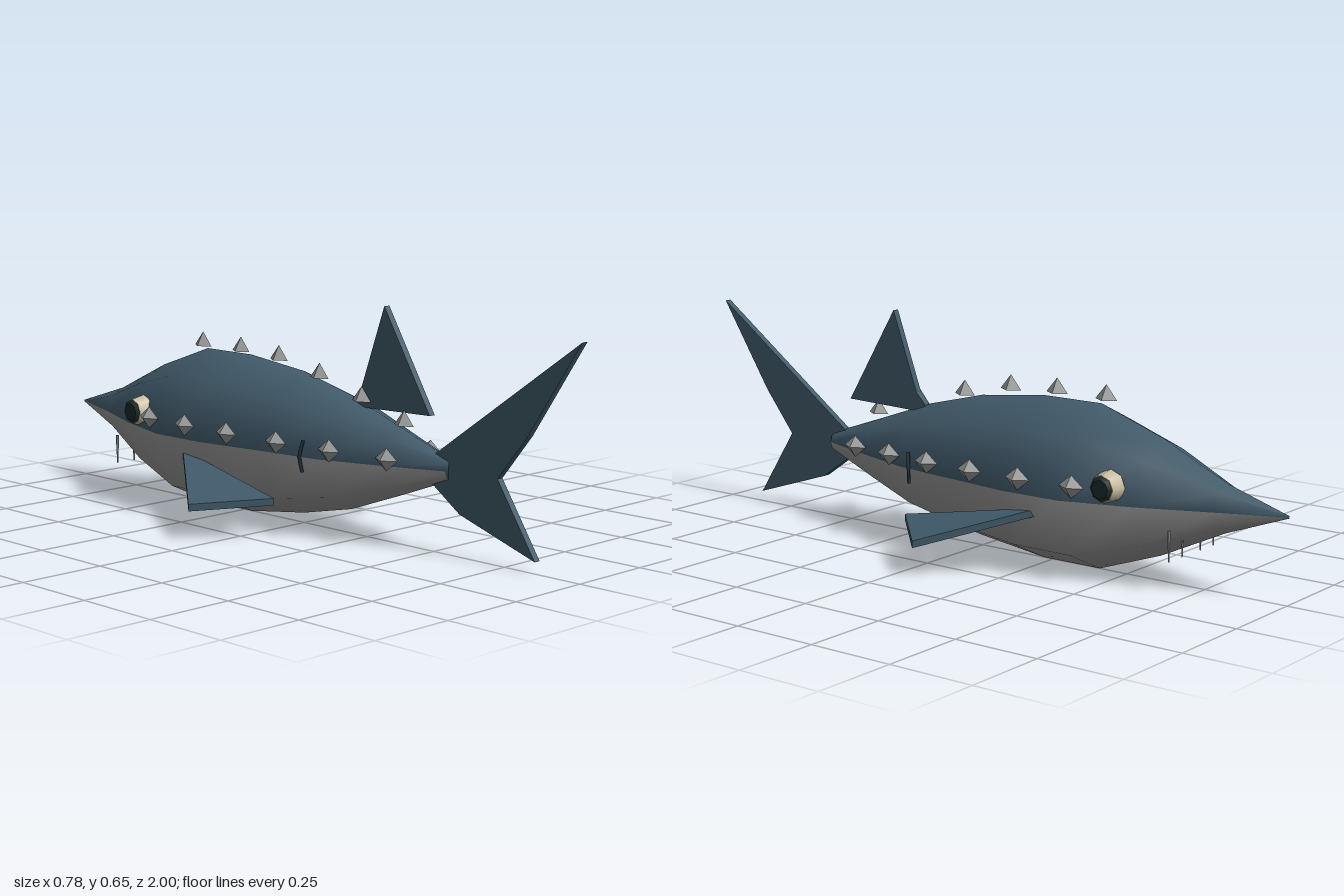
import * as THREE from 'three';
import { ConvexGeometry } from 'three/addons/geometries/ConvexGeometry.js';

const paint = (name, color, opts = {}) => {
  const m = new THREE.MeshStandardMaterial({ color, ...opts });
  m.name = name;
  return m;
};

// Eight-sided lofted body: each section is [z, centre y, height radius]
function bodyGeometry() {
  const sections = [
    [-1, 0.238, 0.003], [-0.81, 0.233, 0.068], [-0.61, 0.233, 0.162], [-0.41, 0.233, 0.232],
    [-0.22, 0.233, 0.232], [0, 0.235, 0.205], [0.19, 0.231, 0.161], [0.375, 0.231, 0.095], [0.56, 0.233, 0.028],
  ];
  const sides = 8, pos = [], back = [], belly = [];
  for (const [z, y, r] of sections) {
    for (let j = 0; j < sides; j++) {
      const a = (j / sides) * Math.PI * 2;
      pos.push(Math.cos(a) * r * 0.885, y + Math.sin(a) * r, z);
    }
  }
  for (let i = 0; i < sections.length - 1; i++) {
    for (let j = 0; j < sides; j++) {
      const k = (j + 1) % sides, p = i * sides, q = p + sides;
      (j < sides / 2 ? back : belly).push(p + j, p + k, q + j, p + k, q + k, q + j);
    }
  }
  // closing face at the tail root
  const e = (sections.length - 1) * sides;
  for (let j = 1; j < sides - 1; j++) back.push(e, e + j, e + j + 1);
  const g = new THREE.BufferGeometry();
  g.setAttribute('position', new THREE.Float32BufferAttribute(pos, 3));
  g.setIndex([...back, ...belly]);
  g.addGroup(0, back.length, 0);
  g.addGroup(back.length, belly.length, 1);
  g.computeVertexNormals();
  return g;
}

// Upright plate from [z, y] outline points
function finGeometry(outline, thickness = 0.02) {
  const shape = new THREE.Shape(outline.map(([z, y]) => new THREE.Vector2(z, y)));
  const g = new THREE.ExtrudeGeometry(shape, { depth: thickness, bevelEnabled: false });
  return g.translate(0, 0, -thickness / 2).rotateY(-Math.PI / 2);
}

export function createModel() {
  const model = new THREE.Group();
  model.name = 'fish';
  const slate = paint('slateBack', 0x415a6a);
  const pale = paint('paleBelly', 0x949694);
  const bone = paint('boneScute', 0x9a9d9b, { flatShading: true });
  const cream = paint('creamEye', 0xc9bea2);
  const dark = paint('darkPupil', 0x1b2c2d);
  const gillColor = paint('gillShade', 0x22313a);

  const add = (name, geometry, material, x = 0, y = 0, z = 0) => {
    const mesh = new THREE.Mesh(geometry, material);
    mesh.name = name;
    mesh.position.set(x, y, z);
    model.add(mesh);
    return mesh;
  };

  add('body', bodyGeometry(), [slate, pale]);

  // Tail and dorsal fins
  add('tailFin', finGeometry([
    [0.5, 0.265], [1, 0.62], [0.83, 0.36], [0.73, 0.235], [0.86, 0.035], [0.6, 0.12], [0.5, 0.19],
  ]), slate);
  add('dorsalFin', finGeometry([
    [0.2, 0.365], [0.205, 0.39], [0.235, 0.42], [0.32, 0.653], [0.49, 0.372],
  ]), slate);

  // Row of scutes along the spine
  const spike = new THREE.ConeGeometry(1, 1, 4).scale(0.024, 0.042, 0.036);
  const spine = [[-0.415, 0.495], [-0.25, 0.495], [-0.09, 0.486], [0.075, 0.452], [0.24, 0.405], [0.4, 0.357]];
  for (const [z, y] of spine) add('spineScute', spike, bone, -0.014, y, z);

  const scute = new THREE.OctahedronGeometry(1).scale(0.025, 0.032, 0.041);
  const flank = [
    [0.197, 0.275, -0.45], [0.209, 0.275, -0.28], [0.202, 0.272, -0.11],
    [0.175, 0.266, 0.065], [0.137, 0.26, 0.235], [0.088, 0.252, 0.405],
  ];
  const eyeball = new THREE.CylinderGeometry(0.037, 0.046, 0.045, 8).rotateZ(-Math.PI / 2);
  const pupil = new THREE.CylinderGeometry(0.026, 0.036, 0.009, 8).rotateZ(-Math.PI / 2);
  const barbel = new THREE.CylinderGeometry(0.005, 0.002, 0.085, 6);

  for (const s of [1, -1]) {
    const side = s > 0 ? 'left' : 'right';

    // Flank scutes
    for (const [x, y, z] of flank) add(side + 'FlankScute', scute, bone, s * x, y, z);

    // Pectoral fin: a swept triangular plate
    const corners = [[0.172, 0.194, -0.33], [0.388, 0.103, -0.06], [0.22, 0.12, 0.105]];
    const points = corners.flatMap(([x, y, z]) => [
      new THREE.Vector3(s * x, y, z), new THREE.Vector3(s * x, y - 0.02, z),
    ]);
    add(side + 'PectoralFin', new ConvexGeometry(points), slate);

    // Eye with its pupil
    add(side + 'Eye', eyeball, cream, s * 0.164, 0.28, -0.54).rotation.y = s > 0 ? 0 : Math.PI;
    add(side + 'Pupil', pupil, dark, s * 0.19, 0.28, -0.54).rotation.y = s > 0 ? 0 : Math.PI;

    // Gill slit
    const slit = new THREE.CatmullRomCurve3([
      new THREE.Vector3(s * 0.151, 0.28, 0.15),
      new THREE.Vector3(s * 0.159, 0.235, 0.143),
      new THREE.Vector3(s * 0.152, 0.19, 0.147),
    ]);
    add(side + 'GillSlit', new THREE.TubeGeometry(slit, 8, 0.005, 6), gillColor);

    // Barbels under the snout
    for (const x of [0.045, 0.11]) add(side + 'Barbel', barbel, bone, s * x, 0.135, -0.705);
  }
  return model;
}
